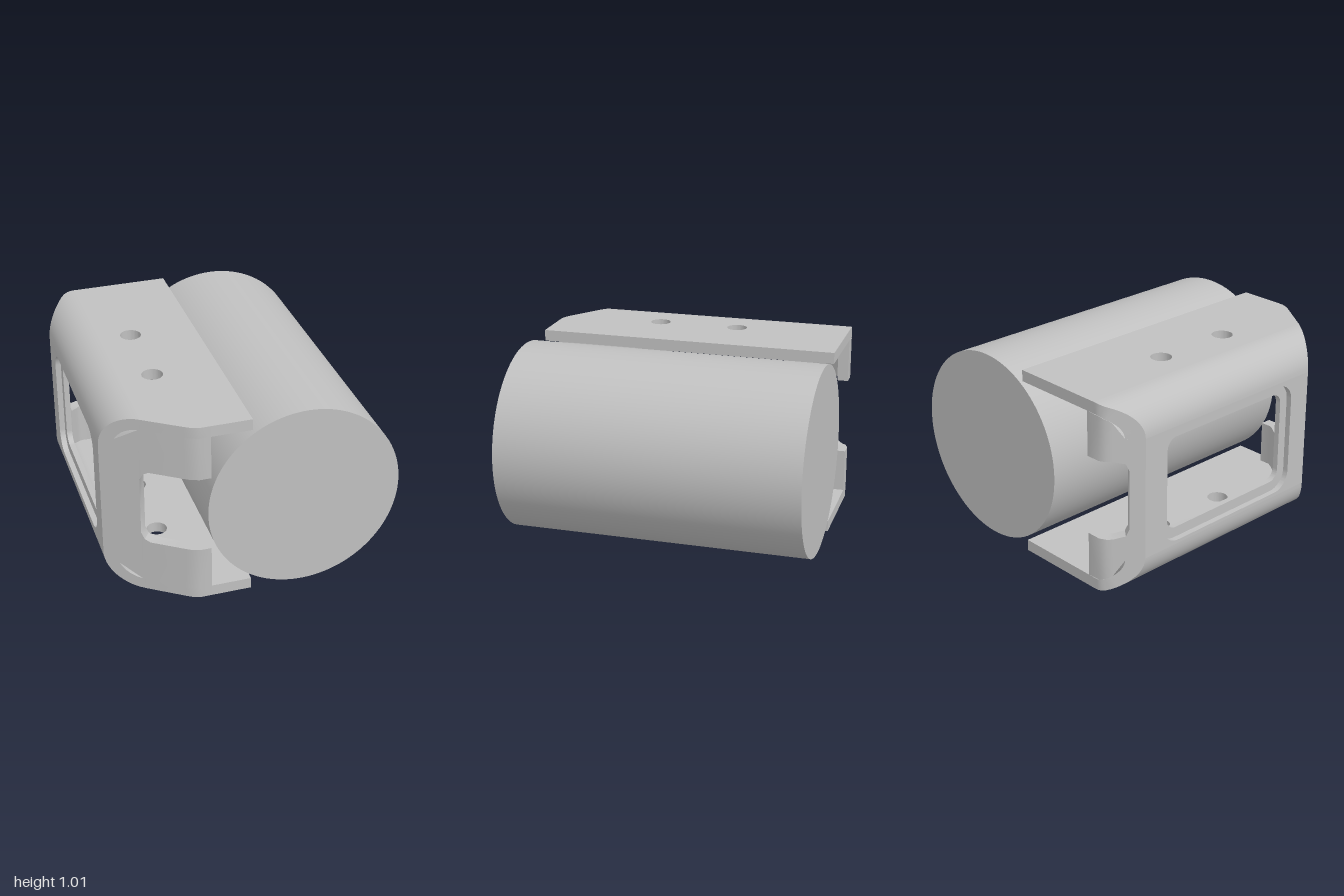
import * as THREE from 'three';
import { toCreasedNormals } from 'three/addons/utils/BufferGeometryUtils.js';

const H = 1.014, MID = H / 2, T = 0.06;      // height, mid height, sheet thickness
const FACE = -0.983, R = 0.183, CX = FACE + R; // web face, bend radius, bend centre
const EDGE = -0.28, HALF = 0.81;              // free plate edge, half length

// End wall paths: outer x, outer z, inner x, inner z, half height of the notch
const FRONT = [
  [-0.49, 0.81, -0.49, 0.75, 0.21], [-0.55, 0.81, -0.55, 0.75, 0.21],
  [-0.59, 0.795, -0.575, 0.738, 0.21], [-0.62, 0.776, -0.59, 0.727, 0.21],
  [-0.77, 0.673, -0.736, 0.624, 0.21], [-0.795, 0.656, -0.761, 0.607, 0.195],
  [-0.81, 0.645, -0.776, 0.596, 0.16], [-0.81, 0.645, -0.776, 0.596, 0],
  [-0.983, 0.526, -0.925, 0.477, 0],
];
const BACK = [
  [-0.755, -0.81, -0.755, -0.75, 0.21], [-0.83, -0.81, -0.81, -0.75, 0.21],
  [-0.865, -0.793, -0.83, -0.74, 0.21], [-0.885, -0.77, -0.84, -0.73, 0.21],
  [-0.925, -0.72, -0.878, -0.683, 0.195], [-0.935, -0.707, -0.888, -0.67, 0.16],
  [-0.935, -0.707, -0.888, -0.67, 0], [-0.983, -0.645, -0.925, -0.6, 0],
];

// z of the bracket outline at a given x
function zAt(path, x) {
  if (x >= path[0][0]) return path[0][1];
  for (let i = 1; i < path.length; i++) {
    const [x0, z0] = path[i - 1], [x1, z1] = path[i];
    if (x >= x1 && x0 > x1) return z0 + (z1 - z0) * (x0 - x) / (x0 - x1);
  }
  return path[path.length - 1][1];
}

// Underside of the top plate and bend at a given x
function ceiling(x) {
  const d = Math.min(Math.max(CX - x, 0), R - T);
  return H - R + Math.sqrt((R - T) ** 2 - d * d);
}

// Closed solid through four-cornered sections, optionally mirrored top to bottom
function loft(sections, flip) {
  const v = sections.flat().map(([x, y, z]) => new THREE.Vector3(x, flip ? H - y : y, z));
  const index = [];
  const quad = (a, b, c, d) => index.push(a, b, c, a, c, d);
  const n = sections.length;
  for (let i = 0; i < n - 1; i++) {
    for (let k = 0; k < 4; k++) {
      const a = i * 4 + k, b = i * 4 + (k + 1) % 4;
      quad(a, b, b + 4, a + 4);
    }
  }
  quad(3, 2, 1, 0);
  const e = (n - 1) * 4;
  quad(e, e + 1, e + 2, e + 3);
  // Turn the faces outwards
  let volume = 0;
  for (let i = 0; i < index.length; i += 3) {
    volume += v[index[i]].dot(v[index[i + 1]].clone().cross(v[index[i + 2]]));
  }
  if (volume < 0) index.reverse();
  const g = new THREE.BufferGeometry().setFromPoints(v);
  g.setIndex(index);
  return toCreasedNormals(g, 0.6);
}

function roundedRect(target, cx, cy, hw, hh, r) {
  const corners = [[1, 1, 0], [-1, 1, 1], [-1, -1, 2], [1, -1, 3]];
  for (const [sx, sy, q] of corners) {
    target.absarc(cx + sx * (hw - r), cy + sy * (hh - r), r, q * Math.PI / 2, (q + 1) * Math.PI / 2, false);
  }
  target.closePath();
  return target;
}

export function createModel() {
  const model = new THREE.Group();
  const body = new THREE.Group();
  body.name = 'cylinderAndBracket';
  body.rotation.y = -0.375;
  body.position.set(0.168, 0, 0.06);
  model.add(body);

  const grey = new THREE.MeshStandardMaterial({ color: 0xc0c0c0 });
  grey.name = 'grey';
  const add = (geometry, name) => {
    const mesh = new THREE.Mesh(geometry, grey);
    mesh.name = name;
    body.add(mesh);
    return mesh;
  };

  // Main cylinder lying along the bracket
  const cylinder = new THREE.CylinderGeometry(MID, MID, 1.623, 96);
  cylinder.rotateX(Math.PI / 2);
  add(cylinder, 'cylinder').position.y = MID;

  // Top and bottom plates with two screw holes each
  const plate = new THREE.Shape();
  plate.moveTo(EDGE, -HALF);
  plate.lineTo(EDGE, HALF);
  for (const [x, z] of FRONT) if (x > CX) plate.lineTo(x, z);
  plate.lineTo(CX, zAt(FRONT, CX));
  plate.lineTo(CX, zAt(BACK, CX));
  for (const z of [-0.198, 0.245]) {
    plate.holes.push(new THREE.Path().absarc(-0.628, z, 0.055, 0, Math.PI * 2, true));
  }
  for (const [name, y] of [['topPlate', H], ['bottomPlate', T]]) {
    const g = new THREE.ExtrudeGeometry(plate, { depth: T, bevelEnabled: false, curveSegments: 24 });
    g.rotateX(Math.PI / 2);
    add(toCreasedNormals(g, 0.6), name).position.y = y;
  }

  // Rounded bends between the plates and the web
  const bend = [];
  for (let i = 0; i <= 14; i++) {
    const a = i / 14 * Math.PI / 2;
    const at = (r, path) => {
      const x = CX - r * Math.sin(a);
      return [x, H - R + r * Math.cos(a), zAt(path, x)];
    };
    bend.push([at(R, FRONT), at(R, BACK), at(R - T, BACK), at(R - T, FRONT)]);
  }
  add(loft(bend, false), 'topBend');
  add(loft(bend, true), 'bottomBend');

  // Web in two layers, so the window sits in a shallow recess
  const z0 = -0.645, z1 = 0.526, zc = (z0 + z1) / 2;
  const layers = [
    ['webOuterLayer', FACE + 0.03, 0.03, 0.46, 0.305, 0.1],
    ['webInnerLayer', FACE + T, T - 0.03, 0.41, 0.25, 0.06],
  ];
  for (const [name, x, depth, hw, hh, r] of layers) {
    const web = new THREE.Shape();
    web.moveTo(z0, R);
    web.lineTo(z1, R);
    web.lineTo(z1, H - R);
    web.lineTo(z0, H - R);
    web.holes.push(roundedRect(new THREE.Path(), zc, MID, hw, hh, r));
    const g = new THREE.ExtrudeGeometry(web, { depth, bevelEnabled: false, curveSegments: 10 });
    g.rotateY(-Math.PI / 2);
    add(toCreasedNormals(g, 0.6), name).position.x = x;
  }

  // Notched end walls, upper and lower halves
  for (const [name, path] of [['frontWall', FRONT], ['backWall', BACK]]) {
    const sections = path.map(([x, z, ix, iz, h]) => [
      [x, MID + h, z], [x, ceiling(x), z], [ix, ceiling(ix), iz], [ix, MID + h, iz],
    ]);
    add(loft(sections, false), name + 'Upper');
    add(loft(sections, true), name + 'Lower');
  }
  return model;
}
